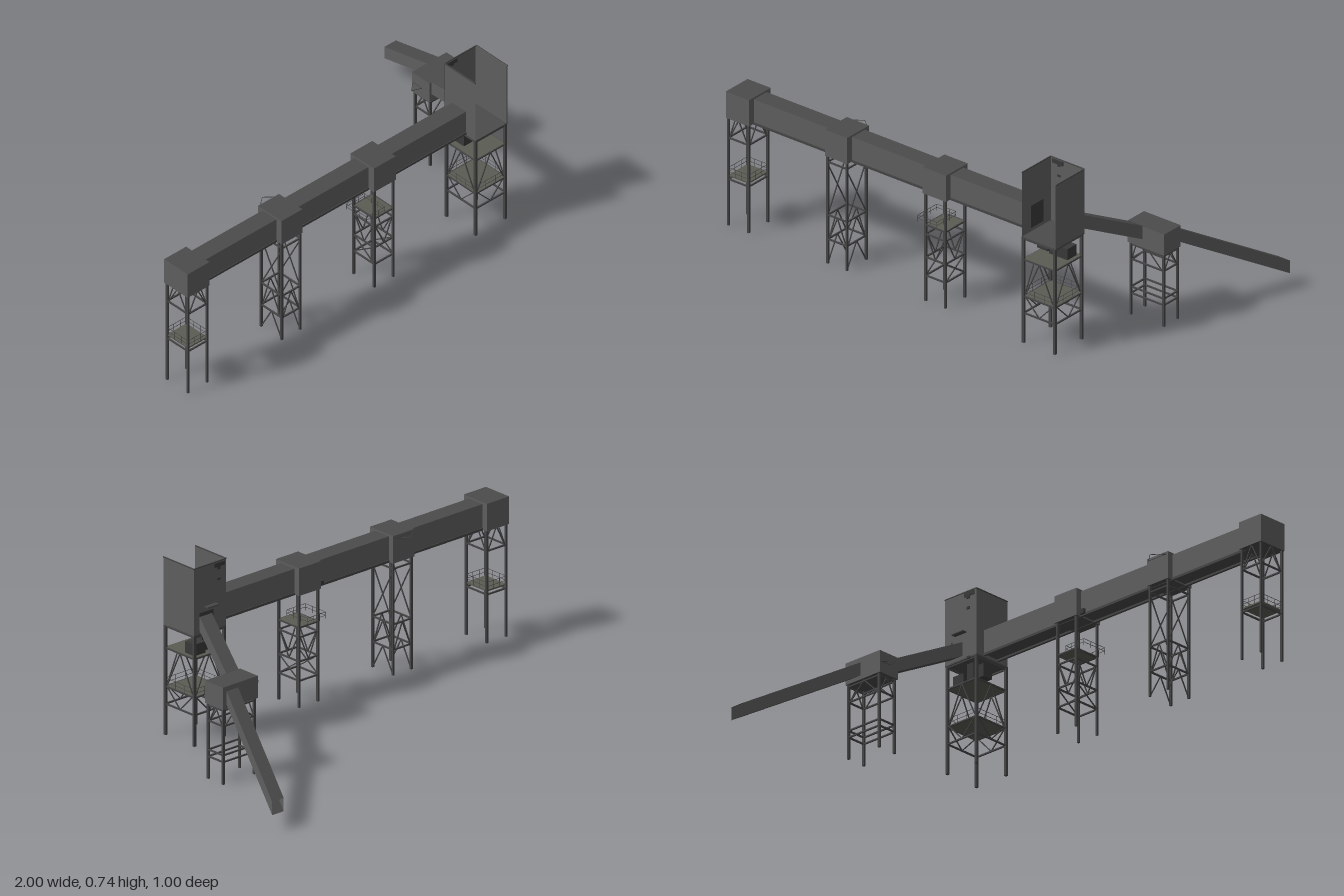
import * as THREE from 'three';

const mat = (name, color, side = THREE.FrontSide) => {
  const m = new THREE.MeshStandardMaterial({ color, side });
  m.name = name;
  return m;
};

export function createModel() {
  const model = new THREE.Group();
  const wall = mat('wall cladding', 0x5f5f60, THREE.DoubleSide);
  const roof = mat('roof cladding', 0x4b4b4b, THREE.DoubleSide);
  const steel = mat('dark steel', 0x464647);
  const deck = mat('deck plate', 0x5a5b52);
  const machine = mat('machinery', 0x3a3a3b);

  const add = (parent, name, geo, m) => {
    const mesh = new THREE.Mesh(geo, m);
    mesh.name = name;
    parent.add(mesh);
    return mesh;
  };
  // Box given by its limits
  const box = (parent, name, [x0, x1], [y0, y1], [z0, z1], m) => {
    const mesh = add(parent, name, new THREE.BoxGeometry(x1 - x0, y1 - y0, z1 - z0), m);
    mesh.position.set((x0 + x1) / 2, (y0 + y1) / 2, (z0 + z1) / 2);
    return mesh;
  };
  const clad = [wall, wall, roof, steel, wall, wall];
  // Square beam between two points
  const bar = (parent, name, a, b, t = 0.004) => {
    const p = new THREE.Vector3(...a), q = new THREE.Vector3(...b);
    const mesh = add(parent, name, new THREE.BoxGeometry(t, t, p.distanceTo(q)), steel);
    mesh.position.copy(p).add(q).multiplyScalar(0.5);
    mesh.lookAt(q);
    return mesh;
  };

  // The four sides of a trestle, as pairs of leg positions
  const sidesOf = ([x0, x1], [z0, z1]) => {
    const c = [[x0, z0], [x1, z0], [x1, z1], [x0, z1]];
    return c.map((p, i) => [p, c[(i + 1) % 4]]);
  };
  // Railing round a platform
  const railing = (parent, xs, zs, y, h = 0.035) => {
    for (const [a, b] of sidesOf(xs, zs)) {
      for (const k of [0.5, 1]) {
        bar(parent, 'handrail', [a[0], y + h * k, a[1]], [b[0], y + h * k, b[1]], 0.0014);
      }
      for (let i = 0; i < 3; i++) {
        const x = a[0] + (b[0] - a[0]) * i / 3, z = a[1] + (b[1] - a[1]) * i / 3;
        bar(parent, 'railPost', [x, y, z], [x, y + h, z], 0.0014);
      }
    }
  };
  // Braced four-legged trestle: rings, peaked braces [apex y, foot y], crosses [y, y]
  const trestle = (name, xs, zs, top, { rings = [], peaks = [], crosses = [], decks = [], leg = 0.009 }) => {
    const g = new THREE.Group();
    g.name = name;
    model.add(g);
    sidesOf(xs, zs).forEach(([a, b], side) => {
      box(g, 'leg', [a[0] - leg / 2, a[0] + leg / 2], [0, top], [a[1] - leg / 2, a[1] + leg / 2], steel);
      for (const y of rings) bar(g, 'crossbar', [a[0], y, a[1]], [b[0], y, b[1]], 0.006);
      const mid = [(a[0] + b[0]) / 2, (a[1] + b[1]) / 2];
      for (const [apex, foot] of peaks) {
        for (const e of [a, b]) {
          const f = e.map((v, i) => v + (mid[i] - v) * 0.12);
          bar(g, 'brace', [mid[0], apex, mid[1]], [f[0], foot, f[1]]);
        }
      }
      // Crossed braces stand on the two x-facing sides only
      if (side % 2) {
        for (const [y0, y1] of crosses) {
          bar(g, 'brace', [a[0], y0, a[1]], [b[0], y1, b[1]]);
          bar(g, 'brace', [a[0], y1, a[1]], [b[0], y0, b[1]]);
        }
      }
    });
    for (const y of decks) {
      box(g, 'platform', xs, [y - 0.003, y + 0.003], zs, deck);
      railing(g, xs, zs, y);
    }
    return g;
  };

  const legZ = [0.352, 0.468];
  trestle('endTrestle', [-0.992, -0.892], legZ, 0.47,
    { rings: [0.38, 0.2], peaks: [[0.47, 0.38]], decks: [0.215] });
  trestle('secondTrestle', [-0.5, -0.405], legZ, 0.47,
    { rings: [0.44, 0.21, 0.105], peaks: [[0.21, 0.105]], crosses: [[0.21, 0.43]] });
  const third = trestle('thirdTrestle', [-0.015, 0.083], legZ, 0.47,
    { rings: [0.33, 0.29, 0.19, 0.11], peaks: [[0.19, 0.29]], crosses: [[0.11, 0.19]] });
  box(third, 'platform', [-0.015, 0.083], [0.327, 0.333], legZ, deck);
  railing(third, [-0.055, 0.04], [0.352, 0.468], 0.33, 0.028);
  const towerFrame = trestle('towerTrestle', [0.492, 0.646], [0.331, 0.494], 0.46,
    { rings: [0.45, 0.36, 0.2, 0.128], peaks: [[0.36, 0.21], [0.128, 0.2]], decks: [0.2], leg: 0.011 });
  trestle('inclineTrestle', [0.664, 0.826], [-0.03, 0.054], 0.32,
    { rings: [0.305, 0.24, 0.12, 0.092], peaks: [[0.31, 0.24]] });
  // Splayed feet under the second trestle
  for (const x of [-0.5, -0.405]) {
    for (const z of legZ) bar(model, 'footBrace', [x, 0.105, 0.41], [x, 0, z]);
  }

  // Long level gallery with bottom girders; its mouth opens into the tower
  box(model, 'gallery', [-0.9, 0.487], [0.472, 0.572], [0.368, 0.446], [machine, wall, roof, steel, wall, wall]);
  for (const z of [0.37, 0.444]) {
    box(model, 'galleryGirder', [-0.9, 0.487], [0.464, 0.474], [z - 0.005, z + 0.005], steel);
  }
  // Houses over the trestles
  for (const [x0, x1] of [[-1, -0.885], [-0.508, -0.398], [-0.024, 0.091]]) {
    box(model, 'house', [x0, x1], [0.466, 0.58], [0.343, 0.475], clad);
  }
  box(model, 'inclineHouse', [0.653, 0.835], [0.313, 0.405], [-0.038, 0.062], clad);

  // Transfer tower: three walls and a floor, open at the front and top
  const tower = new THREE.Group();
  tower.name = 'transferTower';
  model.add(tower);
  const rect = (Type, [u0, u1], [v0, v1]) => new Type([[u0, v0], [u1, v0], [u1, v1], [u0, v1]]
    .map(([u, v]) => new THREE.Vector2(u, v)));
  const holedWall = (name, us, holeU, holeV) => {
    const shape = rect(THREE.Shape, us, [0.456, 0.738]);
    shape.holes.push(rect(THREE.Path, holeU, holeV));
    return add(tower, name, new THREE.ShapeGeometry(shape), wall);
  };
  box(tower, 'floor', [0.486, 0.654], [0.454, 0.46], [0.325, 0.499], [roof, roof, roof, steel, roof, roof]);
  box(tower, 'outerWall', [0.65, 0.654], [0.456, 0.738], [0.325, 0.499], wall);
  holedWall('backWall', [0.486, 0.654], [0.56, 0.622], [0.476, 0.53]).position.z = 0.325;
  const galleryWall = holedWall('galleryWall', [0.325, 0.499], [0.37, 0.444], [0.474, 0.57]);
  galleryWall.rotation.y = -Math.PI / 2;
  galleryWall.position.x = 0.488;
  // Rim along the tops of the three walls
  const rim = [[0.654, 0.499], [0.654, 0.325], [0.487, 0.325], [0.487, 0.499]];
  for (let i = 0; i < 3; i++) {
    bar(tower, 'topRim', [rim[i][0], 0.737, rim[i][1]], [rim[i + 1][0], 0.737, rim[i + 1][1]]);
  }
  // Dark frame round the incline mouth, inside the back wall
  for (const xs of [[0.551, 0.562], [0.614, 0.625]]) box(tower, 'mouthFrame', xs, [0.472, 0.546], [0.325, 0.33], machine);
  for (const ys of [[0.468, 0.479], [0.53, 0.546]]) box(tower, 'mouthFrame', [0.551, 0.625], ys, [0.325, 0.33], machine);
  box(tower, 'vent', [0.497, 0.55], [0.715, 0.732], [0.321, 0.329], machine);
  // Landing and lamps on the back
  box(tower, 'landing', [0.54, 0.6], [0.565, 0.569], [0.304, 0.326], steel);
  for (const y of [0.455, 0.665, 0.71]) box(tower, 'lamp', [0.52, 0.535], [y - 0.005, y + 0.005], [0.32, 0.326], machine);
  // Drive machinery under the tower
  box(towerFrame, 'upperDeck', [0.492, 0.646], [0.358, 0.364], [0.331, 0.494], deck);
  box(towerFrame, 'motor', [0.575, 0.632], [0.364, 0.412], [0.346, 0.4], machine);
  box(towerFrame, 'gearbox', [0.498, 0.552], [0.385, 0.44], [0.375, 0.422], machine);
  box(towerFrame, 'chute', [0.54, 0.575], [0.364, 0.456], [0.365, 0.4], machine);

  // Sloping gallery: vertical-ended tube between two sections [x, y, z]
  const slope = (name, a, b, w, h) => {
    const ring = ([x, y, z]) => [
      [x - w / 2, y - h / 2, z], [x + w / 2, y - h / 2, z], [x + w / 2, y + h / 2, z], [x - w / 2, y + h / 2, z]];
    const p = ring(a), q = ring(b), pos = [];
    const geo = new THREE.BufferGeometry();
    for (let i = 0; i < 4; i++) {
      const j = (i + 1) % 4;
      pos.push(...p[i], ...q[i], ...q[j], ...p[i], ...q[j], ...p[j]);
      geo.addGroup(i * 6, 6, i % 2 ? 0 : 1);
    }
    geo.setAttribute('position', new THREE.Float32BufferAttribute(pos, 3));
    geo.computeVertexNormals();
    add(model, name, geo, [wall, roof]);
  };
  slope('upperIncline', [0.592, 0.502, 0.325], [0.7, 0.372, 0.05], 0.064, 0.058);
  slope('lowerIncline', [0.782, 0.362, -0.03], [0.97, 0.089, -0.5], 0.06, 0.055);

  // Small rope brackets beside two houses
  const bracket = (pts) => pts.forEach((p, i) => bar(model, 'bracket', p, pts[(i + 1) % 3], 0.002));
  bracket([[-0.5, 0.57, 0.343], [-0.45, 0.57, 0.305], [-0.405, 0.57, 0.343]]);
  bracket([[0.653, 0.36, 0.02], [0.61, 0.36, 0.005], [0.653, 0.36, -0.03]]);
  box(model, 'wallLamp', [-0.05, -0.03], [0.47, 0.49], [0.355, 0.368], machine);

  return model;
}
